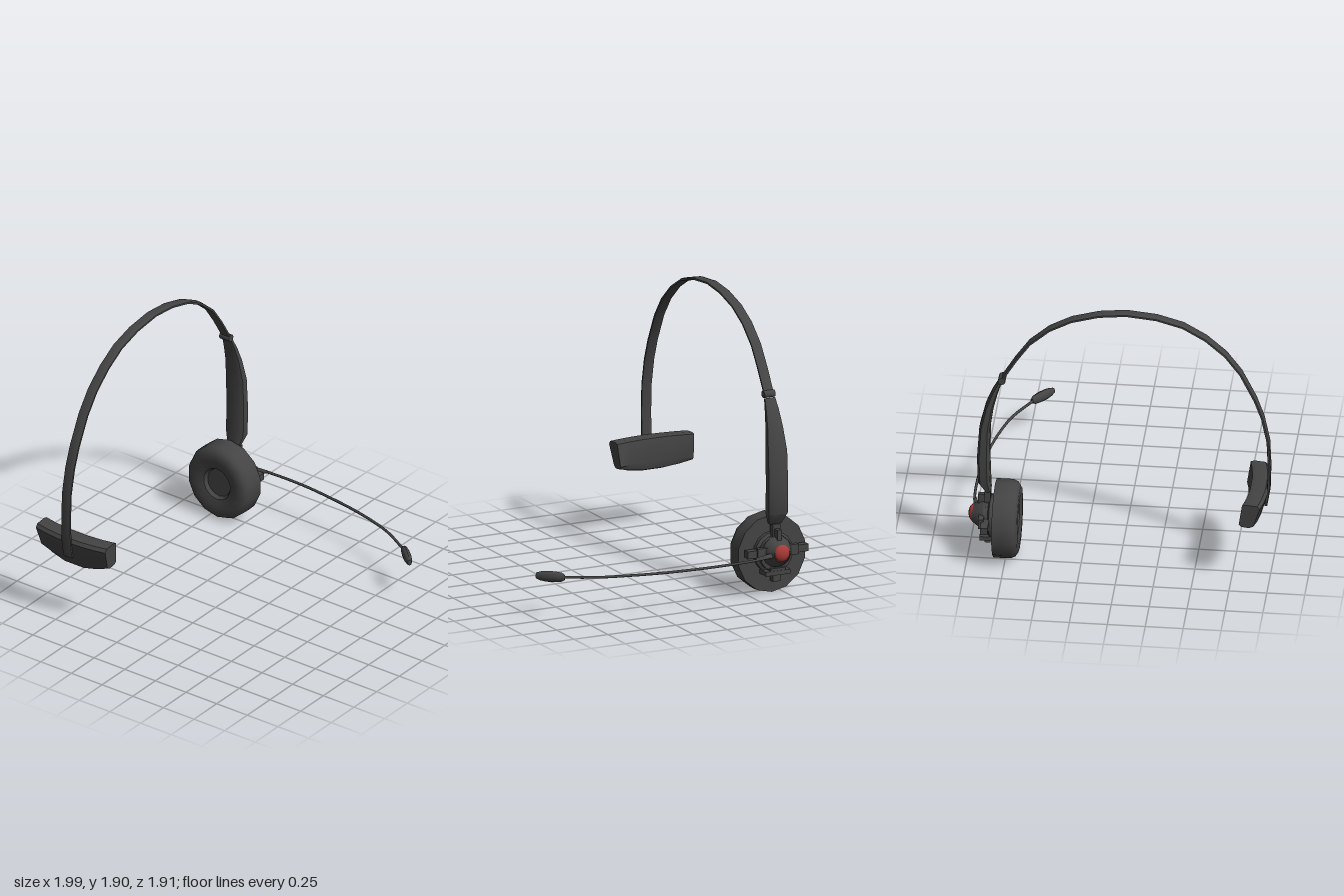
import * as THREE from 'three';
import { toCreasedNormals } from 'three/addons/utils/BufferGeometryUtils.js';

const Z = -0.675; // plane of the headband
const HUB_Y = 0.295;

const darkGrey = new THREE.MeshStandardMaterial({ color: 0x444444 });
darkGrey.name = 'darkGrey';
const red = new THREE.MeshStandardMaterial({ color: 0xa83a36 });
red.name = 'red';

// Skin a list of equal-sized rings and cap both ends
function loft(rings) {
  const n = rings[0].length, pos = [];
  const centre = (r) => r.reduce((s, p) => s.add(p), new THREE.Vector3()).divideScalar(n);
  const tri = (a, b, c) => pos.push([a, b, c]);
  for (let i = 0; i < rings.length - 1; i++) {
    for (let j = 0; j < n; j++) {
      const k = (j + 1) % n, A = rings[i], B = rings[i + 1];
      tri(A[j], A[k], B[k]);
      tri(A[j], B[k], B[j]);
    }
  }
  const first = rings[0], last = rings[rings.length - 1];
  const c0 = centre(first), c1 = centre(last);
  for (let j = 0; j < n; j++) {
    const k = (j + 1) % n;
    tri(c0, first[k], first[j]);
    tri(c1, last[j], last[k]);
  }
  // Turn the surface outward if its volume is negative
  const volume = pos.reduce((s, [a, b, c]) => s + a.dot(b.clone().cross(c)), 0);
  const points = pos.flatMap(([a, b, c]) => (volume < 0 ? [a, c, b] : [a, b, c]));
  return toCreasedNormals(new THREE.BufferGeometry().setFromPoints(points), 0.7);
}

// Flat strip in the x-y plane from stations [x, y, thickness, width]
function strip(stations) {
  const outline = [[-1, -0.6], [-0.6, -1], [0.6, -1], [1, -0.6], [1, 0.6], [0.6, 1], [-0.6, 1], [-1, 0.6]];
  return loft(stations.map(([x, y, t, w], i) => {
    const a = stations[Math.max(i - 1, 0)], b = stations[Math.min(i + 1, stations.length - 1)];
    const d = new THREE.Vector2(b[0] - a[0], b[1] - a[1]).normalize();
    return outline.map(([u, v]) =>
      new THREE.Vector3(x - d.y * u * t / 2, y + d.x * u * t / 2, Z + v * w / 2));
  }));
}

// Turned part around an axis along x, from points [radius, x]
function turned(profile, sides, y) {
  const g = new THREE.LatheGeometry(profile.map(([r, x]) => new THREE.Vector2(r, x)), sides, Math.PI / 2);
  g.rotateZ(-Math.PI / 2);
  g.translate(0, y, Z);
  return toCreasedNormals(g, 0.7);
}

function box(w, h, d, x, y, z = Z) {
  return new THREE.BoxGeometry(w, h, d).translate(x, y, z);
}

export function createModel() {
  const model = new THREE.Group();
  model.name = 'headset';
  const add = (name, geometry, material = darkGrey) => {
    const mesh = new THREE.Mesh(geometry, material);
    mesh.name = name;
    model.add(mesh);
    return mesh;
  };

  // Headband arch
  const arch = [[-0.962, 0.49], [-0.98, 0.6], [-0.985, 0.78], [-0.977, 0.97], [-0.94, 1.15], [-0.89, 1.29],
    [-0.795, 1.485], [-0.695, 1.62], [-0.565, 1.735], [-0.415, 1.823], [-0.24, 1.873], [-0.04, 1.893],
    [0.14, 1.874], [0.32, 1.823], [0.465, 1.745], [0.595, 1.63], [0.685, 1.5], [0.778, 1.345]];
  add('headband', strip(arch.map(([x, y]) => [x, y, 0.02, 0.07])));

  // Hinge between headband and arm
  add('hinge', toCreasedNormals(
    new THREE.CylinderGeometry(0.025, 0.025, 0.08, 12).rotateX(Math.PI / 2).translate(0.778, 1.34, Z), 0.7));

  // Wide side arm
  add('sideArm', strip([[0.793, 1.315, 0.024, 0.075], [0.825, 1.24, 0.04, 0.092], [0.86, 1.13, 0.055, 0.112],
    [0.89, 0.975, 0.07, 0.138], [0.9, 0.75, 0.08, 0.14], [0.894, 0.56, 0.08, 0.14], [0.865, 0.485, 0.034, 0.095]]));

  // Temple pad, bowed along z with a lower middle
  const section = [[-0.982, 0.605], [-0.965, 0.628], [-0.89, 0.635], [-0.865, 0.628], [-0.842, 0.48],
    [-0.858, 0.42], [-0.91, 0.4], [-0.938, 0.445]];
  const padRings = [-0.28, -0.19, -0.08, 0.08, 0.19, 0.28].map((s) => {
    const q = (s / 0.28) ** 2;
    return section.map(([x, y]) => new THREE.Vector3(
      x + 0.034 * q, y < 0.5 ? y + (0.475 - y) * 0.7 * q : y, -0.667 + s * (y < 0.5 ? 0.96 : 1.01)));
  });
  add('templePad', loft(padRings));

  // Ear cushion with a recessed inner face
  const cushion = turned([[0, 0.7], [0.1, 0.7], [0.115, 0.675], [0.17, 0.66], [0.222, 0.662], [0.25, 0.68],
    [0.264, 0.71], [0.266, 0.76], [0.264, 0.825], [0, 0.825]], 14, 0.266);
  cushion.translate(0, 0, -Z).scale(1, 1, 0.95).translate(0, 0, Z);
  add('earCushion', cushion);

  // Ear plate and stepped hub
  add('earPlate', turned([[0, 0.82], [0.14, 0.82], [0.14, 0.855], [0.12, 0.865], [0.12, 0.895], [0, 0.9]], 16, 0.28));
  add('hub', turned([[0, 0.88], [0.11, 0.88], [0.1, 0.915], [0.075, 0.95], [0.058, 0.975], [0, 0.98]], 14, HUB_Y));

  // Cross-shaped bracket behind the hub
  add('verticalBracket', box(0.04, 0.39, 0.055, 0.873, 0.285));
  add('horizontalBracket', box(0.05, 0.05, 0.445, 0.877, 0.295, -0.682));
  add('innerBracket', box(0.035, 0.07, 0.3, 0.905, 0.3));
  add('upperRib', box(0.05, 0.13, 0.03, 0.91, 0.385));
  add('lowerBar', box(0.1, 0.03, 0.18, 0.87, 0.155));
  add('lowerBlock', box(0.055, 0.025, 0.11, 0.89, 0.175));

  // Red button
  add('button', new THREE.SphereGeometry(1, 16, 10).scale(0.035, 0.058, 0.058).translate(0.965, 0.3, Z), red);

  // Microphone boom
  const boomPath = new THREE.CatmullRomCurve3([[0.945, 0.285, -0.66], [0.968, 0.282, -0.56], [0.983, 0.279, -0.45],
    [0.986, 0.276, -0.2], [0.97, 0.273, 0], [0.94, 0.271, 0.22], [0.893, 0.27, 0.43], [0.838, 0.268, 0.6],
    [0.72, 0.266, 0.82]].map((p) => new THREE.Vector3(...p)));
  add('microphoneBoom', new THREE.TubeGeometry(boomPath, 24, 0.009, 8));
  add('boomRoot', new THREE.CylinderGeometry(0.011, 0.022, 0.18, 8)
    .rotateX(Math.PI / 2).rotateY(0.2).translate(0.955, 0.284, -0.57));

  // Microphone capsule
  const capsule = new THREE.LatheGeometry([[0, -0.098], [0.018, -0.098], [0.032, -0.075], [0.037, -0.03],
    [0.037, 0.03], [0.03, 0.07], [0.02, 0.095], [0, 0.098]].map((p) => new THREE.Vector2(...p)), 12);
  capsule.rotateX(Math.PI / 2).scale(0.72, 1, 1).rotateY(-0.72).translate(0.67, 0.267, 0.878);
  add('microphone', toCreasedNormals(capsule, 0.7));

  return model;
}
